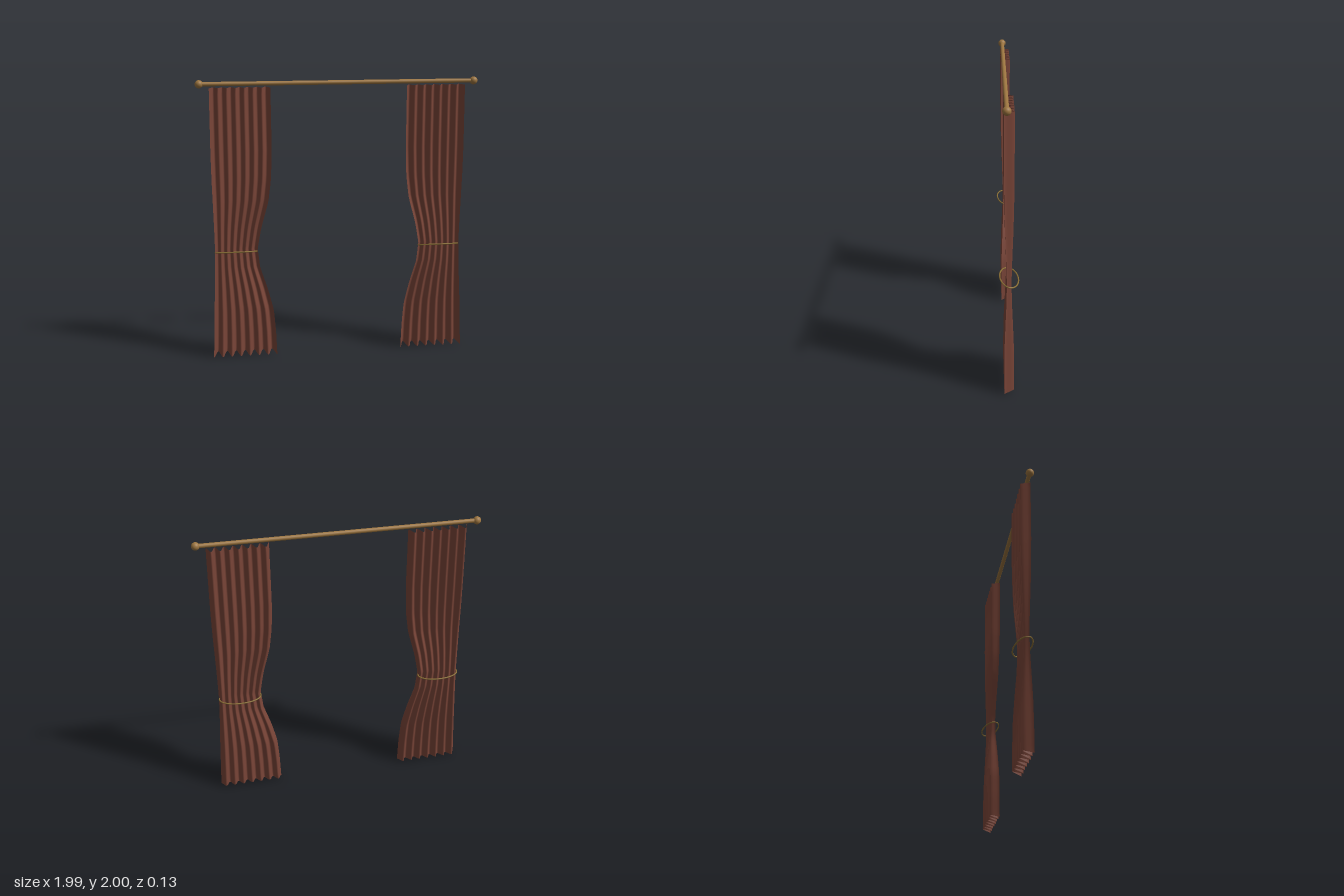
import * as THREE from 'three';

const fabric = new THREE.MeshStandardMaterial({ color: 0x7a4538, side: THREE.DoubleSide });
fabric.name = 'russet fabric';
const brass = new THREE.MeshStandardMaterial({ color: 0x9c7540 });
brass.name = 'brass';
const cord = new THREE.MeshStandardMaterial({ color: 0x8a6f35 });
cord.name = 'olive gold cord';

// Panel outline from hem to heading: height, inner x, outer x, fold depth
const OUTLINE = [
  [0, 0.46, 0.92, 0.033], [0.18, 0.467, 0.913, 0.033], [0.34, 0.48, 0.907, 0.031],
  [0.5, 0.52, 0.9, 0.025], [0.66, 0.572, 0.893, 0.018], [0.8, 0.588, 0.89, 0.015],
  [0.95, 0.56, 0.892, 0.019], [1.14, 0.507, 0.896, 0.026], [1.3, 0.486, 0.9, 0.03],
  [1.5, 0.478, 0.902, 0.033], [1.945, 0.48, 0.9, 0.033],
];
const FOLDS = 7;

function add(parent, name, geometry, material, x = 0, y = 0, z = 0) {
  const mesh = new THREE.Mesh(geometry, material);
  mesh.name = name;
  mesh.position.set(x, y, z);
  parent.add(mesh);
  return mesh;
}

// Blend the outline rows at height y
function outlineAt(y) {
  let i = 0;
  while (i < OUTLINE.length - 2 && y > OUTLINE[i + 1][0]) i++;
  const a = OUTLINE[i], b = OUTLINE[i + 1];
  const t = (y - a[0]) / (b[0] - a[0]);
  return a.map((v, k) => THREE.MathUtils.lerp(v, b[k], t));
}

// Pleated sheet gathered at the waist, with a gently scalloped hem
function panelGeometry(side) {
  const geometry = new THREE.PlaneGeometry(1, 1, FOLDS * 10, 44);
  const p = geometry.attributes.position;
  for (let i = 0; i < p.count; i++) {
    const u = p.getX(i) + 0.5;
    const y = (p.getY(i) + 0.5) * 1.945;
    const [, inner, outer, depth] = outlineAt(y);
    const across = side > 0 ? u : 1 - u;
    const wave = Math.cos(across * FOLDS * Math.PI * 2);
    const hem = y < 0.001 ? 0.01 - 0.01 * wave : 0;
    p.setXYZ(i, side * THREE.MathUtils.lerp(inner, outer, across), y + hem, depth * wave - 0.001);
  }
  geometry.computeVertexNormals();
  return geometry;
}

// Oval loop around the gathered waist
class Oval extends THREE.Curve {
  getPoint(t, target = new THREE.Vector3()) {
    const a = t * Math.PI * 2;
    return target.set(0.15 * Math.cos(a), 0.014 * Math.sin(a), 0.062 * Math.sin(a));
  }
}

export function createModel() {
  const group = new THREE.Group();
  group.name = 'curtains';

  // Rod and end balls
  const rod = new THREE.CylinderGeometry(0.015, 0.015, 1.93, 20).rotateZ(Math.PI / 2);
  add(group, 'rod', rod, brass, 0, 1.972, 0.016);

  for (const side of [-1, 1]) {
    const label = side > 0 ? 'left' : 'right';
    add(group, label + 'Finial', new THREE.SphereGeometry(0.028, 24, 16), brass, side * 0.966, 1.972, 0.016);
    add(group, label + 'Curtain', panelGeometry(side), fabric);
    add(group, label + 'Tieback', new THREE.TubeGeometry(new Oval(), 64, 0.005, 8, true), cord, side * 0.739, 0.777, -0.003);
  }
  return group;
}
